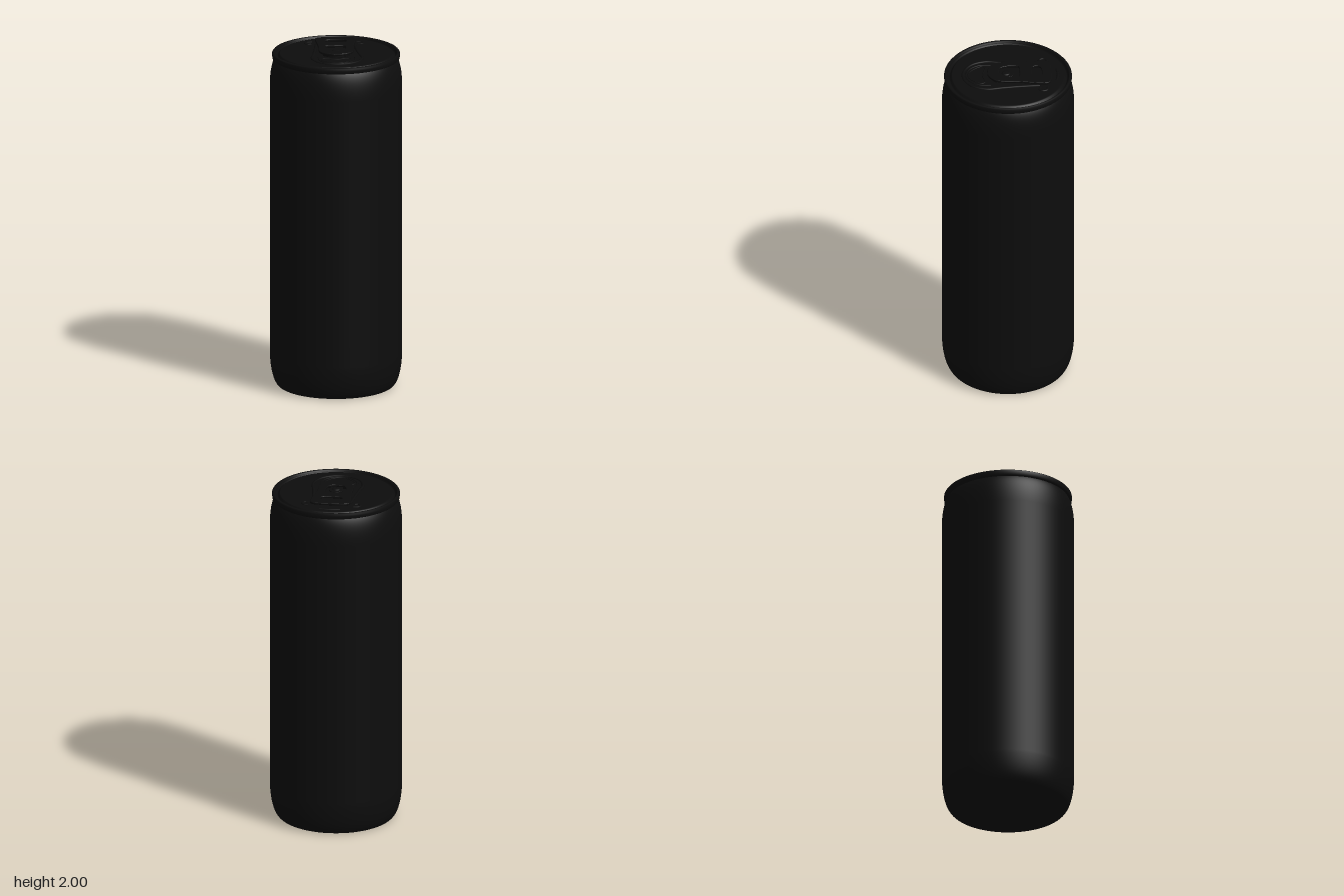
import * as THREE from 'three';

const SEG = 96;
const black = new THREE.MeshStandardMaterial({ color: 0x0d0d0d });
const V = (x, y) => new THREE.Vector2(x, y);

function add(group, name, geometry) {
  const mesh = new THREE.Mesh(geometry, black);
  mesh.name = name;
  group.add(mesh);
  return mesh;
}

// Closed smooth outline through [x, z] points
function outline(points, tension = 0.5) {
  const curve = new THREE.CatmullRomCurve3(
    points.map(([x, z]) => new THREE.Vector3(x, z, 0)), true, 'catmullrom', tension);
  return curve.getPoints(64).slice(0, -1).map((p) => V(p.x, p.y));
}

// Flat bevelled plate drawn in x/z, lying between bottom and top
function plate(shape, bottom, top, bevel) {
  const geometry = new THREE.ExtrudeGeometry(shape, {
    depth: top - bottom - 2 * bevel, bevelThickness: bevel, bevelSize: bevel,
    bevelOffset: -bevel, bevelSegments: 3, curveSegments: 24,
  });
  geometry.rotateX(Math.PI / 2);
  geometry.translate(0, top - bevel, 0);
  return geometry;
}

// Half-sunk bead pressed into the lid along [x, z] points
function bead(points, y, radius, closed = false) {
  const curve = new THREE.CatmullRomCurve3(
    points.map(([x, z]) => new THREE.Vector3(x, 0, z)), closed);
  const geometry = new THREE.TubeGeometry(curve, 72, radius, 8, closed);
  geometry.scale(1, 0.7, 1);
  geometry.translate(0, y, 0);
  return geometry;
}

export function createModel() {
  const can = new THREE.Group();
  can.name = 'drinkCan';

  // Body: rounded foot, straight wall, shoulder and neck
  const wall = new THREE.Path();
  wall.moveTo(0.322, 0);
  wall.bezierCurveTo(0.352, 0.004, 0.378, 0.08, 0.38, 0.2);
  wall.lineTo(0.38, 1.78);
  wall.bezierCurveTo(0.38, 1.87, 0.366, 1.92, 0.35, 1.946);
  add(can, 'body', new THREE.LatheGeometry(wall.getPoints(20), SEG));

  // Base
  add(can, 'base', new THREE.LatheGeometry([V(0, 0.004), V(0.2, 0.004), V(0.3, 0.003), V(0.322, 0)], SEG));

  // Seamed rim
  add(can, 'rim', new THREE.LatheGeometry([
    V(0.346, 1.945), V(0.362, 1.945), V(0.366, 1.949), V(0.367, 1.962),
    V(0.367, 1.974), V(0.363, 1.979), V(0.354, 1.98), V(0.349, 1.976), V(0.346, 1.968),
  ], SEG));

  // Lid with a shallow groove inside the rim
  const lidY = 1.975;
  add(can, 'lid', new THREE.LatheGeometry([
    V(0.347, 1.97), V(0.343, 1.962), V(0.337, 1.958), V(0.331, 1.962),
    V(0.326, 1.971), V(0.32, lidY), V(0.2, lidY), V(0, lidY),
  ], SEG));

  // Pressed beads around the tab and mouth
  add(can, 'mouthPanelBead', bead([
    [-0.105, -0.18], [-0.118, -0.06], [-0.13, 0.04], [-0.142, 0.12], [-0.115, 0.2], [-0.06, 0.245],
    [0, 0.258], [0.06, 0.245], [0.118, 0.2], [0.147, 0.12], [0.135, 0.04], [0.122, -0.06], [0.112, -0.18],
  ], lidY, 0.009));
  add(can, 'mouthScore', bead([
    [-0.078, 0.133], [0, 0.146], [0.074, 0.133], [0.084, 0.152], [0.06, 0.197],
    [0.022, 0.225], [-0.022, 0.225], [-0.062, 0.197], [-0.09, 0.152],
  ], lidY, 0.004, true));
  add(can, 'mouthEdge', bead([
    [-0.105, 0.1], [-0.1, 0.17], [-0.06, 0.222], [0, 0.24], [0.06, 0.222], [0.1, 0.17], [0.105, 0.1],
  ], lidY, 0.005));
  add(can, 'fingerWellBead', bead([[-0.06, -0.28], [0, -0.288], [0.06, -0.28]], lidY, 0.008));
  for (const side of [-1, 1]) {
    add(can, side > 0 ? 'leftLidBead' : 'rightLidBead', bead([
      [0.13 * side, -0.228], [0.158 * side, -0.222], [0.168 * side, -0.2], [0.155 * side, -0.18], [0.135 * side, -0.184],
    ], lidY, 0.007));
  }

  // Pull tab with a finger slot and a rivet window
  const tab = new THREE.Group();
  tab.name = 'pullTab';
  can.add(tab);
  const tabShape = new THREE.Shape(outline([
    [-0.075, -0.247], [0.005, -0.25], [0.09, -0.247], [0.121, -0.225], [0.12, -0.17], [0.104, -0.06],
    [0.1, 0.04], [0.078, 0.088], [0.035, 0.115], [0, 0.119], [-0.035, 0.115],
    [-0.078, 0.088], [-0.1, 0.04], [-0.1, -0.06], [-0.109, -0.17], [-0.109, -0.225],
  ]));
  const slot = new THREE.Path(outline([
    [-0.045, -0.188], [0.005, -0.196], [0.055, -0.188], [0.068, -0.163],
    [0.055, -0.14], [0.005, -0.136], [-0.045, -0.14], [-0.057, -0.163],
  ]));
  const windowHole = new THREE.Path(outline([
    [-0.045, -0.065], [0.045, -0.065], [0.056, -0.045], [0.055, 0.005], [0.04, 0.04],
    [0.02, 0.049], [-0.02, 0.049], [-0.042, 0.04], [-0.058, 0.005], [-0.058, -0.045],
  ]));
  tabShape.holes.push(slot, windowHole);
  add(tab, 'tabPlate', plate(tabShape, 1.987, 2, 0.004));

  // Rivet tongue holding the tab to the lid
  const tongue = new THREE.Shape();
  tongue.moveTo(-0.035, 0.052);
  tongue.lineTo(-0.04, 0.005);
  tongue.absarc(0, 0.005, 0.04, Math.PI, Math.PI * 2, false);
  tongue.lineTo(0.035, 0.052);
  add(tab, 'rivetTongue', plate(tongue, 1.981, 1.988, 0.002));
  const rivet = add(tab, 'rivet', new THREE.LatheGeometry([
    V(0.022, 0), V(0.025, 0.012), V(0.023, 0.017), V(0.017, 0.019), V(0, 0.02),
  ], 32));
  rivet.position.set(0, 1.974, 0.012);

  // Tab nose resting on the mouth panel
  const nose = new THREE.Shape(outline([
    [-0.07, 0.06], [0.07, 0.06], [0.05, 0.095], [0, 0.108], [-0.05, 0.095],
  ]));
  add(tab, 'tabNose', plate(nose, 1.974, 1.99, 0.003));

  return can;
}
